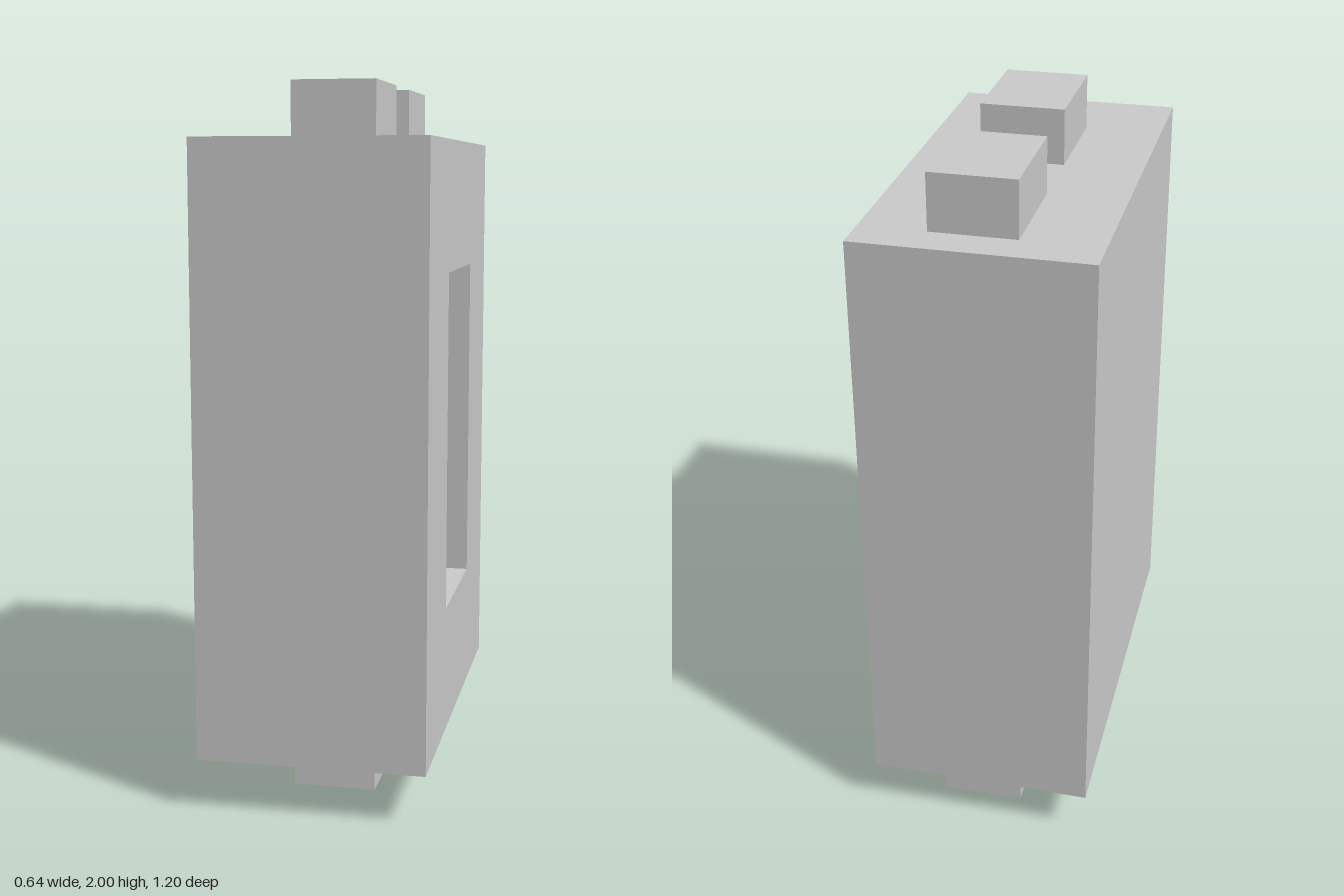
import * as THREE from 'three';

const W = 0.64, D = 1.2, Y0 = 0.147, Y1 = 1.843;      // main block
const FACE_X = W / 2, FLOOR_X = 0.185;                // side face and recess floor
const R = { z: 0.237, y0: 0.513, y1: 1.477 };         // recess opening
const DIMPLE = { y: 1.062, r: 0.187 };

const material = new THREE.MeshStandardMaterial({ color: 0xcccccc });

// Rectangle as a shape or hole
function rect(target, halfW, y0, y1) {
  target.moveTo(-halfW, y0);
  target.lineTo(halfW, y0);
  target.lineTo(halfW, y1);
  target.lineTo(-halfW, y1);
  target.closePath();
  return target;
}

// Turn a surface inside out
function flip(geometry) {
  geometry.setIndex(Array.from(geometry.index.array).reverse());
  const n = geometry.attributes.normal;
  for (let i = 0; i < n.array.length; i++) n.array[i] *= -1;
  return geometry;
}

// Box without some of its faces (0 = +x, 1 = -x, ...)
function openBox(w, h, d, missing) {
  const g = new THREE.BoxGeometry(w, h, d);
  const kept = Array.from(g.index.array).filter((_, i) => !missing.includes(Math.floor(i / 6)));
  g.setIndex(kept);
  g.clearGroups();
  return g;
}

// Flat panel facing +x
function sidePanel(shape, x) {
  return new THREE.ShapeGeometry(shape, 24).rotateY(Math.PI / 2).translate(x, 0, 0);
}

export function createModel() {
  const model = new THREE.Group();
  model.name = 'block';
  const add = (name, geometry) => {
    const mesh = new THREE.Mesh(geometry, material);
    mesh.name = name;
    model.add(mesh);
  };

  // Main block, open on the side that carries the recess
  add('blockShell', openBox(W, Y1 - Y0, D, [0]).translate(0, (Y0 + Y1) / 2, 0));

  // Side face with the rectangular opening
  const face = rect(new THREE.Shape(), D / 2, Y0, Y1);
  face.holes.push(rect(new THREE.Path(), R.z, R.y0, R.y1));
  add('sideFace', sidePanel(face, FACE_X));

  // Recess walls and floor with a round hole
  const depth = FACE_X - FLOOR_X;
  add('recessWalls', flip(openBox(depth, R.y1 - R.y0, R.z * 2, [0, 1]))
    .translate(FLOOR_X + depth / 2, (R.y0 + R.y1) / 2, 0));
  const floor = rect(new THREE.Shape(), R.z, R.y0, R.y1);
  floor.holes.push(new THREE.Path().absarc(0, DIMPLE.y, DIMPLE.r, 0, Math.PI * 2));
  add('recessFloor', sidePanel(floor, FLOOR_X));

  // Hemispherical dimple sunk into the recess floor
  add('dimple', flip(new THREE.SphereGeometry(DIMPLE.r, 48, 16, 0, Math.PI * 2, 0, Math.PI / 2))
    .rotateZ(Math.PI / 2).translate(FLOOR_X, DIMPLE.y, 0));

  // Two pegs on the top and two on the bottom
  for (const [level, y0, y1] of [['top', Y1, 2], ['bottom', 0, Y0]]) {
    for (const [end, z] of [['Front', 0.201], ['Back', -0.336]]) {
      add(`${level}${end}Peg`, new THREE.BoxGeometry(0.236, y1 - y0, 0.318)
        .translate(0.018, (y0 + y1) / 2, z));
    }
  }
  return model;
}
